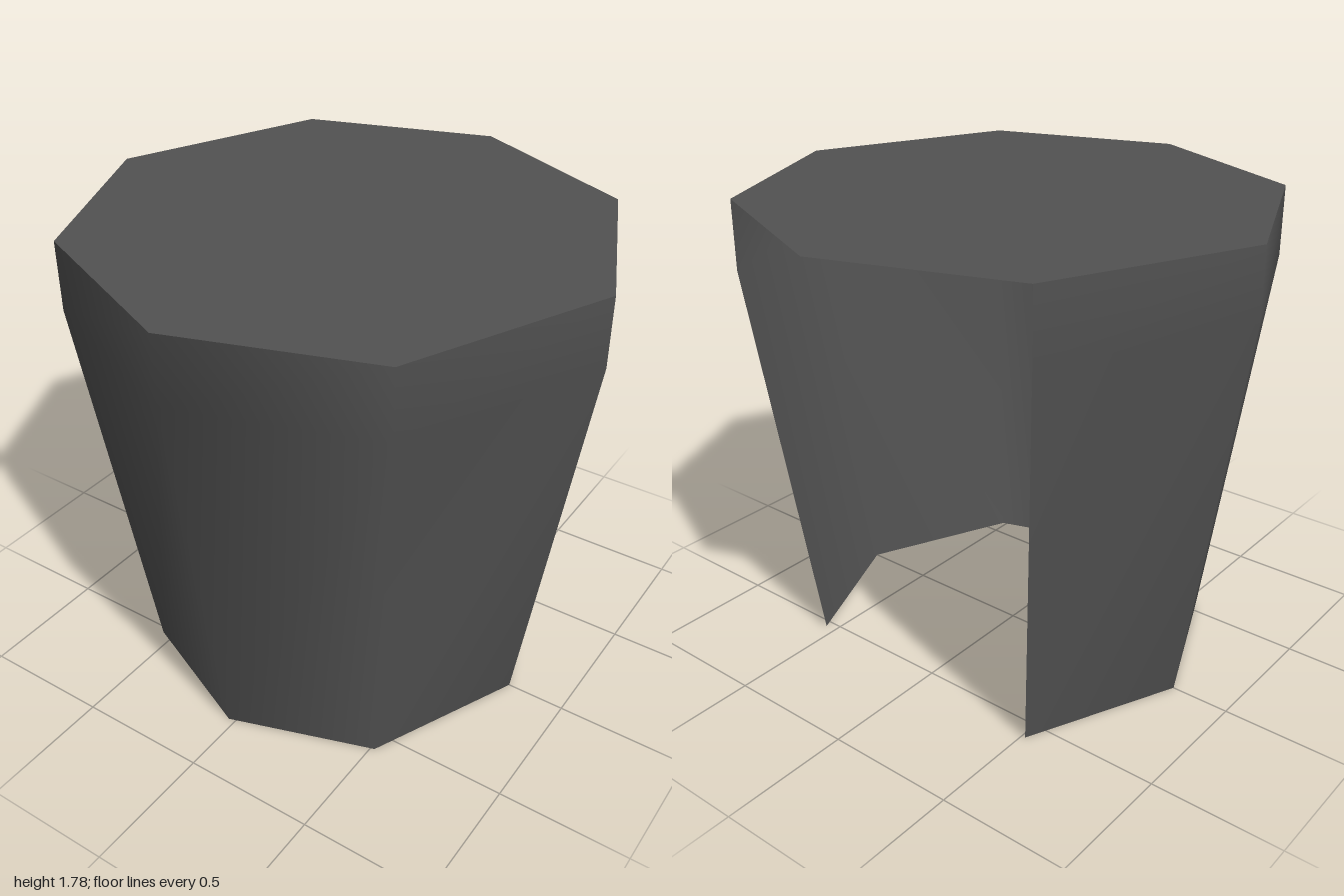
import * as THREE from 'three';

// Corners of the eight-sided top, counter-clockwise seen from above (x, z)
const CORNERS = [
  [-0.665, -0.745], [-1, 0], [-0.71, 0.68], [-0.035, 0.975],
  [0.665, 0.74], [1, 0], [0.705, -0.685], [0.035, -0.98],
];
const HEIGHT = 1.78;

function surface(points, indices, material, name) {
  const geometry = new THREE.BufferGeometry();
  geometry.setAttribute('position', new THREE.Float32BufferAttribute(points.flat(), 3));
  geometry.setIndex(indices);
  geometry.computeVertexNormals();
  const mesh = new THREE.Mesh(geometry, material);
  mesh.name = name;
  return mesh;
}

export function createModel() {
  const group = new THREE.Group();
  group.name = 'taperedShell';

  const darkGrey = new THREE.MeshStandardMaterial({ color: 0x525252, side: THREE.DoubleSide });
  darkGrey.name = 'darkGrey';

  // Smooth wall around six sides, open at the back: [height, scale] per ring
  const rings = [[0, 0.775], [1.52, 1], [HEIGHT, 1]];
  const wallCorners = CORNERS.slice(0, 7);
  const n = wallCorners.length;
  const points = rings.flatMap(([y, s]) => wallCorners.map(([x, z]) => [x * s, y, z * s]));
  const indices = [];
  for (let r = 0; r < rings.length - 1; r++) {
    for (let i = 0; i < n - 1; i++) {
      const a = r * n + i, b = a + 1, c = b + n, d = a + n;
      indices.push(a, b, c, a, c, d);
    }
  }
  group.add(surface(points, indices, darkGrey, 'wall'));

  // Flat lid covering the whole octagon
  const lid = [];
  for (let i = 1; i < CORNERS.length - 1; i++) lid.push(0, i, i + 1);
  group.add(surface(CORNERS.map(([x, z]) => [x, HEIGHT, z]), lid, darkGrey, 'lid'));

  return group;
}
